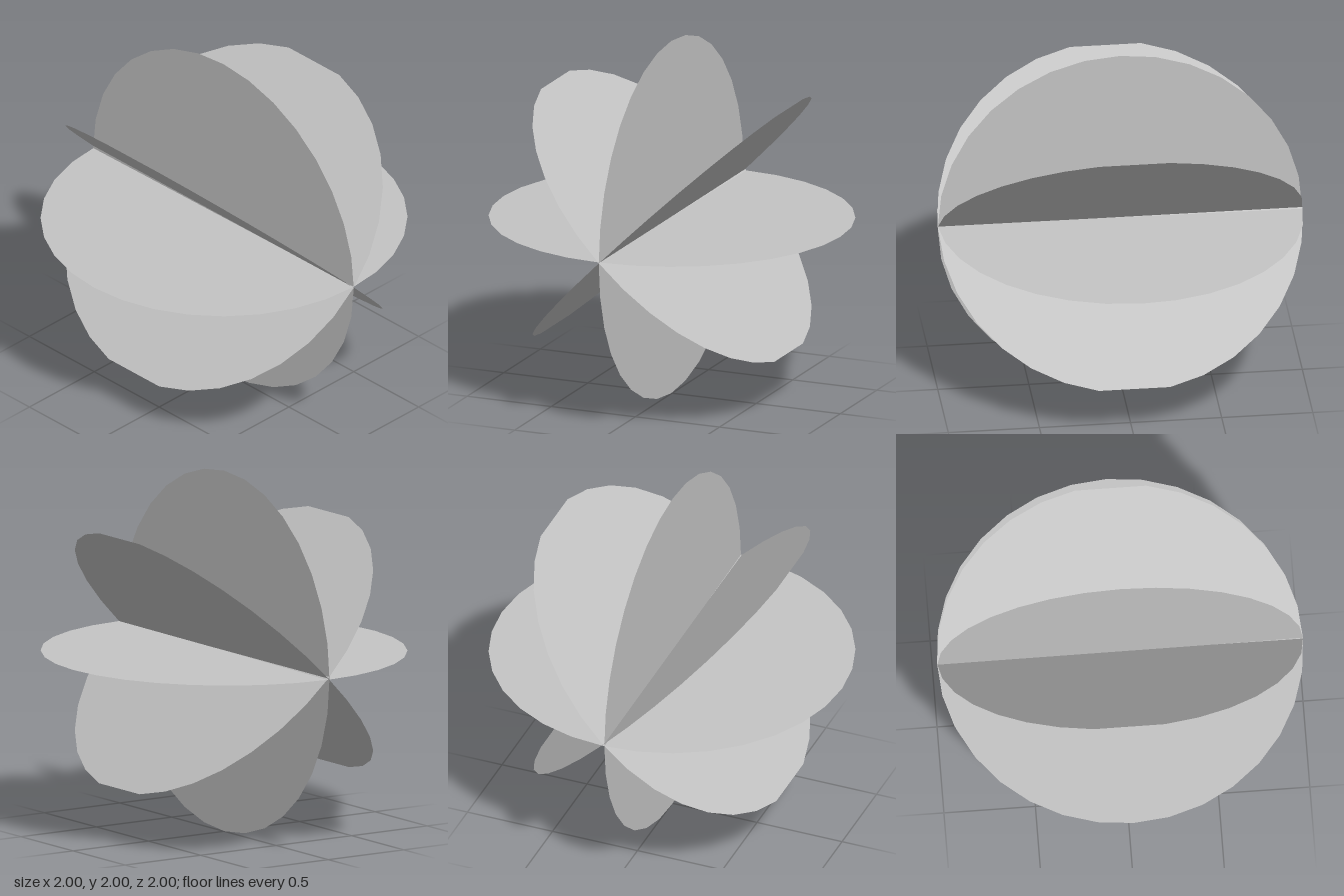
import * as THREE from 'three';

// Thin disc in the XZ plane; 'clipped' discs have the points at the two side extremes left out
function discGeometry(clipped) {
  const sides = 32;
  const points = [];
  for (let i = 0; i < sides; i++) {
    if (clipped && i % 16 === 0) continue;
    const a = (i / sides) * Math.PI * 2;
    points.push(new THREE.Vector2(Math.cos(a), Math.sin(a)));
  }
  return new THREE.ShapeGeometry(new THREE.Shape(points)).rotateX(-Math.PI / 2);
}

export function createModel() {
  const group = new THREE.Group();
  group.name = 'crossedDiscs';
  const grey = new THREE.MeshStandardMaterial({ color: 0xc4c4c4, side: THREE.DoubleSide });
  grey.name = 'grey';

  // Four discs share the front-to-back axis, each with a slight lean and offset
  const discs = [
    { name: 'horizontalDisc', angle: 0, lean: -0.006, x: 0, y: 1.004, clipped: false },
    { name: 'risingDisc', angle: 45, lean: 0, x: 0, y: 1.005, clipped: true },
    { name: 'verticalDisc', angle: 90, lean: 0.004, x: -0.004, y: 1, clipped: false },
    { name: 'fallingDisc', angle: 135, lean: 0, x: 0, y: 1.005, clipped: true },
  ];
  for (const d of discs) {
    const geometry = discGeometry(d.clipped).rotateX(d.lean).rotateZ(THREE.MathUtils.degToRad(d.angle));
    const mesh = new THREE.Mesh(geometry, grey);
    mesh.name = d.name;
    mesh.position.set(d.x, d.y, 0);
    group.add(mesh);
  }
  return group;
}
